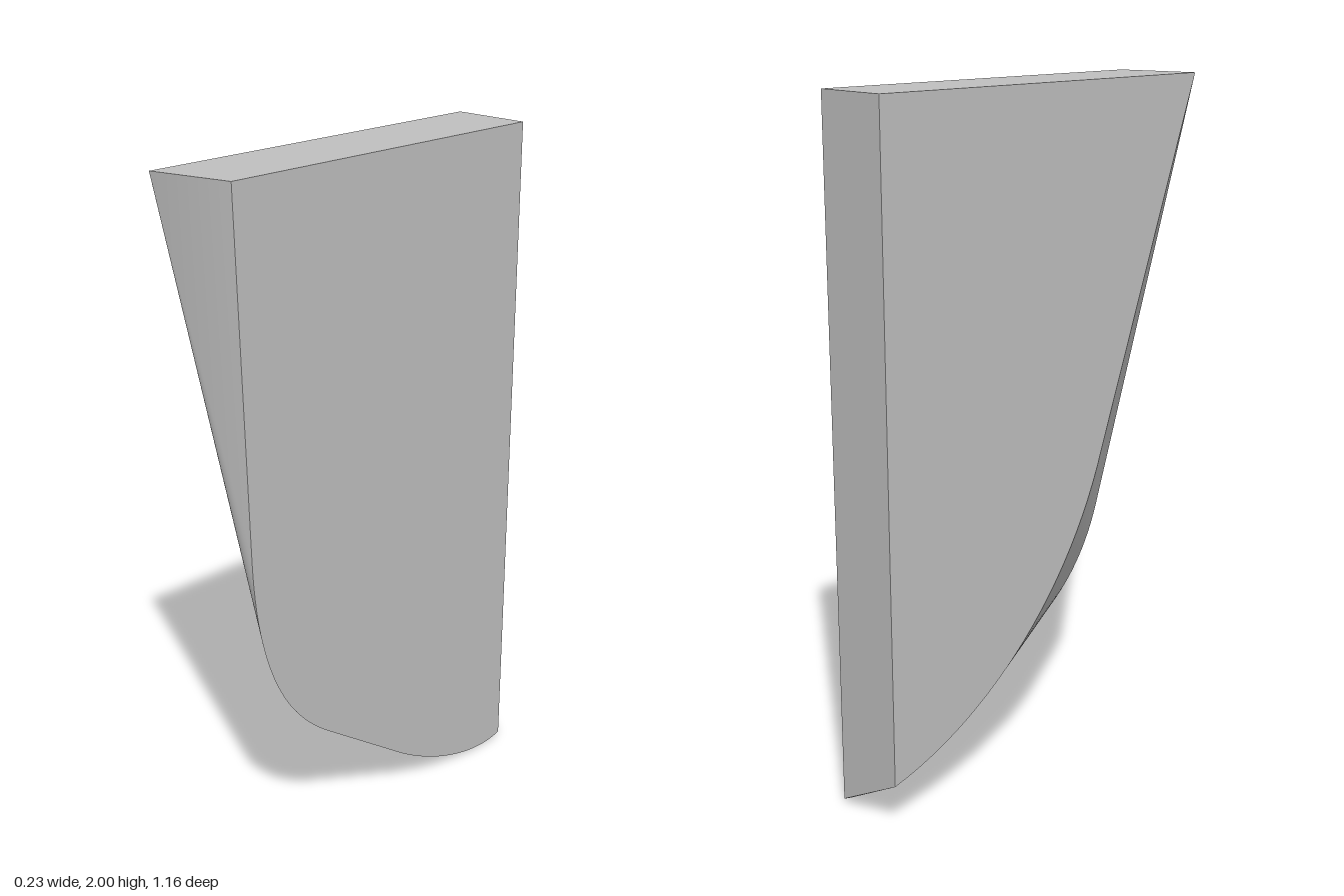
import * as THREE from 'three';
import { toCreasedNormals } from 'three/addons/utils/BufferGeometryUtils.js';

const HALF_WIDTH = 0.117;

// Side outline in (z, y), running from the top front corner down, back and up.
function outline(front, curves) {
  const v = (p) => new THREE.Vector2(p[0], p[1]);
  const points = [v(front)];
  for (const c of curves) {
    points.push(...new THREE.CubicBezierCurve(...c.map(v)).getPoints(24));
  }
  points.push(v([-0.58, 2]));
  return points;
}

// Skins two convex outlines by always advancing the one that turns first.
function skin(left, right) {
  const positions = [];
  const add = (x, p) => positions.push(x, p.y, p.x);
  const at = (list, i) => list[i % list.length];
  const turn = (list, i) => {
    if (i >= list.length) return Infinity;
    const a = at(list, i), b = at(list, i + 1);
    const angle = -Math.PI / 2 - Math.atan2(b.y - a.y, b.x - a.x);
    return angle < -0.01 ? angle + Math.PI * 2 : angle;
  };
  let i = 0, j = 0;
  while (i < left.length || j < right.length) {
    add(HALF_WIDTH, at(left, i));
    add(-HALF_WIDTH, at(right, j));
    if (turn(left, i) <= turn(right, j)) add(HALF_WIDTH, at(left, ++i));
    else add(-HALF_WIDTH, at(right, ++j));
  }
  // Flat sides
  for (const [list, x] of [[left, HALF_WIDTH], [right, -HALF_WIDTH]]) {
    const last = list.length - 1;
    for (let k = 0; k < last - 1; k++) {
      const [a, b] = x > 0 ? [k, k + 1] : [k + 1, k];
      add(x, list[last]);
      add(x, list[a]);
      add(x, list[b]);
    }
  }
  const geometry = new THREE.BufferGeometry();
  geometry.setAttribute('position', new THREE.Float32BufferAttribute(positions, 3));
  return toCreasedNormals(geometry, 0.5);
}

export function createModel() {
  const group = new THREE.Group();
  group.name = 'taperedBlade';
  const grey = new THREE.MeshStandardMaterial({ color: 0xbfbfbf });
  grey.name = 'grey';

  // Fuller left outline: rounded knee, straight slope, shallow toe
  const left = outline([0.52, 2], [
    [[0.485, 1.0], [0.474, 0.64], [0.37, 0.465], [0.2, 0.35]],
    [[-0.1, 0.145], [-0.25, 0.045], [-0.45, -0.026], [-0.58, 0.012]],
  ]);
  // Leaner right outline: long slope into one sweeping curve
  const right = outline([0.58, 2], [
    [[0.215, 0.947], [0.09, 0.55], [-0.22, 0.24], [-0.58, 0.14]],
  ]);

  const blade = new THREE.Mesh(skin(left, right), grey);
  blade.name = 'blade';
  group.add(blade);
  return group;
}
